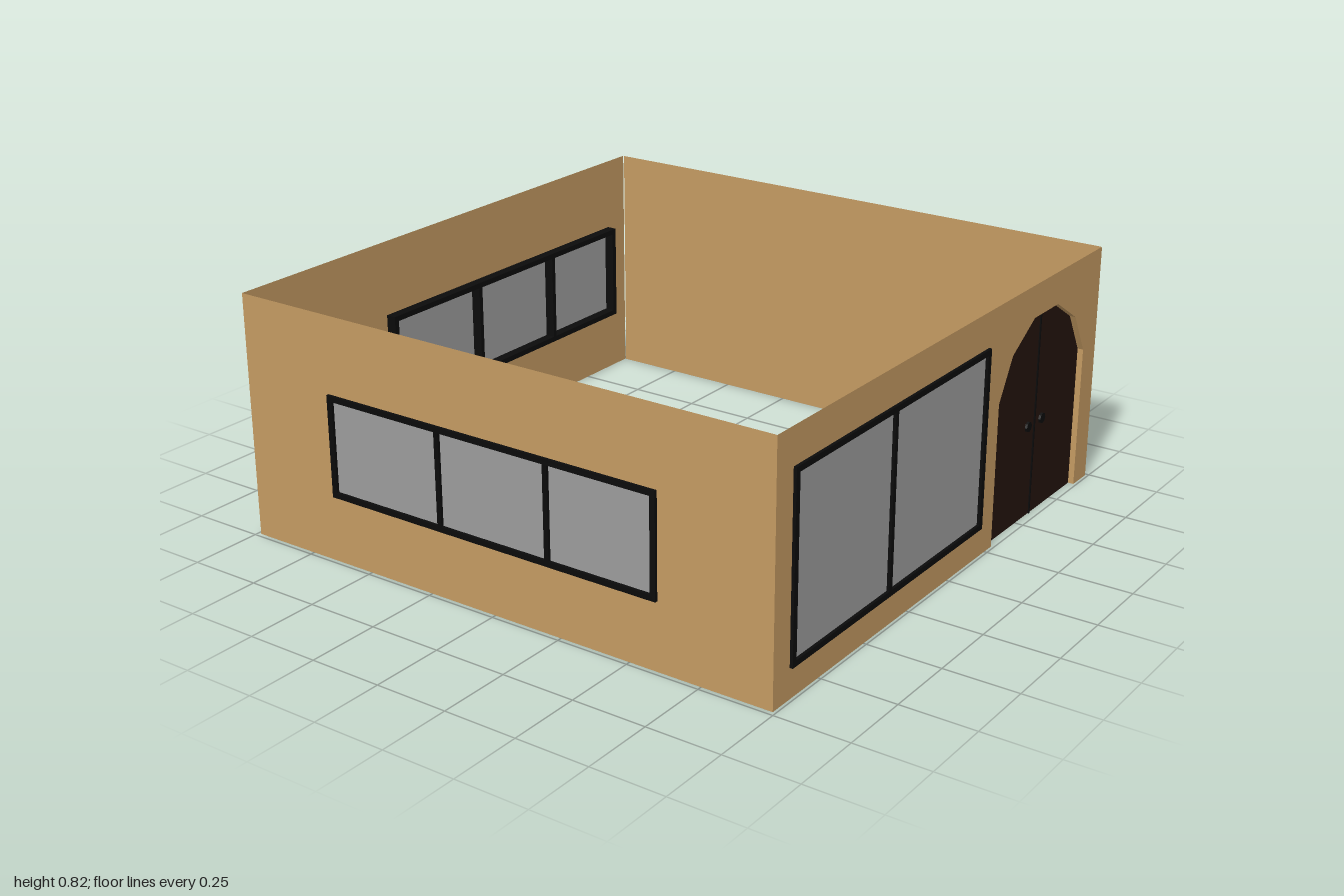
import * as THREE from 'three';

const mat = (color) => new THREE.MeshStandardMaterial({ color, side: THREE.DoubleSide, flatShading: true });
const HEIGHT = 0.825;

function add(parent, name, geometry, material, x = 0, y = 0, z = 0) {
  const m = new THREE.Mesh(geometry, material);
  m.name = name;
  m.position.set(x, y, z);
  parent.add(m);
  return m;
}

const points = (list) => list.map(([x, y]) => new THREE.Vector2(x, y));
const rect = (u0, v0, u1, v1) => points([[u0, v0], [u1, v0], [u1, v1], [u0, v1]]);

export function createModel() {
  const wood = mat(0xc49a62), black = mat(0x0b0b0b), doorWood = mat(0x24130d), glass = mat(0x9c9c9c);
  const model = new THREE.Group();
  model.name = 'room';

  // Window: one extruded frame with a hole per pane, glass near the outer face
  function addWindow(wall, { u0, u1, v0, v1, bars }) {
    const window = new THREE.Group();
    window.name = 'window';
    const border = 0.019, half = 0.008;
    const shape = new THREE.Shape(rect(u0, v0, u1, v1));
    const edges = [u0 + border - half, ...bars, u1 - border + half];
    for (let i = 0; i < edges.length - 1; i++) {
      shape.holes.push(new THREE.Path(rect(edges[i] + half, v0 + border, edges[i + 1] - half, v1 - border)));
    }
    add(window, 'windowFrame', new THREE.ExtrudeGeometry(shape, { depth: 0.045, bevelEnabled: false }), black, 0, 0, -0.035);
    add(window, 'windowGlass', new THREE.ShapeGeometry(new THREE.Shape(rect(u0 + 0.01, v0 + 0.01, u1 - 0.01, v1 - 0.01))), glass);
    wall.add(window);
  }

  // Wall: thin sheet in its own plane, outside facing local +z
  function addWall(name, u0, u1, windows, doorway = []) {
    const wall = new THREE.Group();
    wall.name = name;
    const shape = new THREE.Shape(points([[u0, 0], ...doorway, [u1, 0], [u1, HEIGHT], [u0, HEIGHT]]));
    for (const w of windows) {
      shape.holes.push(new THREE.Path(rect(w.u0 + 0.01, w.v0 + 0.01, w.u1 - 0.01, w.v1 - 0.01)));
      addWindow(wall, w);
    }
    add(wall, 'wallSheet', new THREE.ShapeGeometry(shape), wood);
    model.add(wall);
    return wall;
  }

  // Faceted arch of the doorway
  const arch = [[0.295, 0], [0.295, 0.49], [0.374, 0.628], [0.514, 0.713],
    [0.679, 0.713], [0.819, 0.628], [0.898, 0.49], [0.898, 0]];
  const low = { v0: 0.225, v1: 0.567 };

  const front = addWall('frontWall', -0.985, 0.99,
    [{ u0: -0.902, u1: 0.206, v0: 0.1, v1: 0.706, bars: [-0.366] }], arch);
  front.position.z = 0.99;

  const back = addWall('backWall', -0.99, 0.985, [
    { u0: -0.89, u1: 0.345, ...low, bars: [-0.511, -0.1] },
    { u0: 0.59, u1: 0.907, ...low, bars: [] },
  ]);
  back.position.z = -0.988;
  back.rotation.y = Math.PI;

  const right = addWall('rightWall', -0.985, 0.985, []);
  right.scale.x = 1;
  right.position.set(-0.985, 0, 0.001);
  right.rotation.y = -Math.PI / 2;
  right.name = 'leftWall';
  // Plain side at +x, windowed side at -x
  right.name = 'leftWall';
  right.position.set(0.99, 0, 0.001);
  right.rotation.y = Math.PI / 2;

  const side = addWall('rightWall', -0.988, 0.99, [{ u0: -0.64, u1: 0.6, ...low, bars: [-0.2, 0.21] }]);
  side.position.x = -0.985;
  side.rotation.y = -Math.PI / 2;

  // Door set back behind a wooden reveal
  const door = new THREE.Group();
  door.name = 'door';
  const depth = 0.02, mid = 0.597;
  const pos = [], index = [];
  arch.forEach(([x, y], i) => {
    pos.push(x, y, 0, x, y, -depth);
    if (i) {
      const a = 2 * i - 2;
      index.push(a, a + 1, a + 2, a + 1, a + 3, a + 2);
    }
  });
  const reveal = new THREE.BufferGeometry();
  reveal.setAttribute('position', new THREE.Float32BufferAttribute(pos, 3));
  reveal.setIndex(index);
  reveal.computeVertexNormals();
  add(door, 'doorReveal', reveal, wood);

  const leaves = [arch.slice(0, 4).concat([[mid, 0.713], [mid, 0]]), [[mid, 0], [mid, 0.713], ...arch.slice(4)]];
  leaves.forEach((leaf, i) => {
    add(door, 'doorLeaf', new THREE.ShapeGeometry(new THREE.Shape(points(leaf))), doorWood, 0, 0, -depth);
    const knob = add(door, 'doorKnob', new THREE.CylinderGeometry(0.018, 0.018, 0.016, 8), black, mid + (i ? 0.049 : -0.047), 0.325, -depth);
    knob.rotation.x = Math.PI / 2;
  });
  add(door, 'doorSeam', new THREE.BoxGeometry(0.006, 0.713, 0.008), black, mid, 0.3565, -depth);
  front.add(door);

  return model;
}
